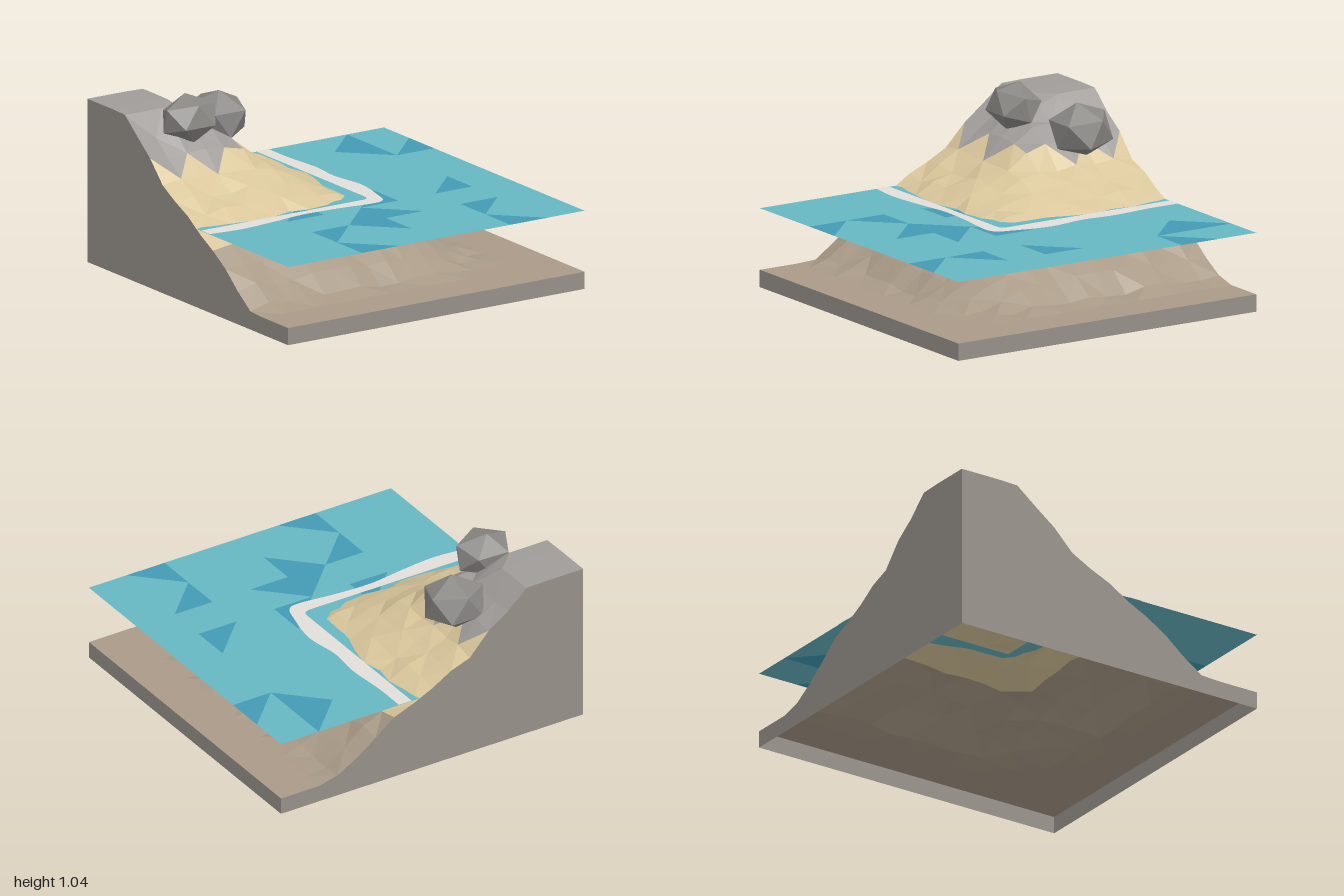
import * as THREE from 'three';

const LEVEL = 0.455; // water height

const mat = (color) => new THREE.MeshStandardMaterial({
  color, flatShading: true, roughness: 1, side: THREE.DoubleSide,
});

// Mesh from a list of triangles, each three [x, y, z] corners
function triMesh(name, tris, color) {
  const g = new THREE.BufferGeometry();
  g.setAttribute('position', new THREE.Float32BufferAttribute(tris.flat(2), 3));
  g.computeVertexNormals();
  const m = new THREE.Mesh(g, mat(color));
  m.name = name;
  return m;
}

// Two upward triangles of a grid cell, the diagonal alternating like a checkerboard
function cellTris(i, j, p) {
  const a = p(i, j), b = p(i + 1, j), c = p(i, j + 1), d = p(i + 1, j + 1);
  return (i + j) % 2 === 0 ? [[a, c, b], [b, c, d]] : [[a, c, d], [a, d, b]];
}

// Repeatable noise, 0 to 1
function noise(i, j) {
  const s = Math.sin(i * 127.1 + j * 311.7 + 4.3) * 43758.5453;
  return s - Math.floor(s);
}

// Slope profile: [distance from the high corner, height]
const profile = [[-1, 0.95], [-0.63, 0.95], [-0.5, 0.855], [-0.375, 0.755], [-0.25, 0.645],
  [-0.125, 0.58], [0, 0.525], [0.125, 0.465], [0.25, 0.395], [0.375, 0.315],
  [0.5, 0.225], [0.625, 0.14], [0.75, 0.1], [3, 0.1]];

function slope(d) {
  const k = Math.max(1, profile.findIndex((q) => q[0] >= d));
  const [d0, h0] = profile[k - 1], [d1, h1] = profile[k];
  return THREE.MathUtils.lerp(h0, h1, (d - d0) / (d1 - d0));
}

const N = 16;
function ground(i, j) {
  const x = -1 + (2 * i) / N, z = -1 + (2 * j) / N;
  // Square contours with slightly rounded corners
  const d = Math.pow(Math.pow(x + 1, 9) + Math.pow(z + 1, 9), 1 / 9) - 1;
  let y = slope(d);
  if (y > 0.11 && y < 0.94) y -= 0.035 * noise(i, j);
  return [x, Math.max(0.1, y), z];
}

// Terrain, split into height bands by the middle of each triangle
function terrain() {
  const bands = { rockyTop: [], sandSlope: [], seabed: [] };
  for (let i = 0; i < N; i++) {
    for (let j = 0; j < N; j++) {
      for (const t of cellTris(i, j, ground)) {
        const h = (t[0][1] + t[1][1] + t[2][1]) / 3;
        bands[h > 0.7 ? 'rockyTop' : h > 0.36 ? 'sandSlope' : 'seabed'].push(t);
      }
    }
  }
  const g = new THREE.Group();
  g.name = 'terrain';
  g.add(
    triMesh('rockyTop', bands.rockyTop, 0x9f9c99),
    triMesh('sandSlope', bands.sandSlope, 0xd8c59a),
    triMesh('seabed', bands.seabed, 0xa99a87),
  );
  return g;
}

// Upright sides from the floor to the rim of the terrain, open underneath
function walls() {
  const tris = [];
  const strip = (p, q) => {
    const p0 = [p[0], 0, p[2]], q0 = [q[0], 0, q[2]];
    tris.push([p0, q0, q], [p0, q, p]);
  };
  for (let k = 0; k < N; k++) {
    strip(ground(k, N), ground(k + 1, N)); // front
    strip(ground(k + 1, 0), ground(k, 0)); // back
    strip(ground(0, k), ground(0, k + 1)); // -x side
    strip(ground(N, k + 1), ground(N, k)); // +x side
  }
  return triMesh('sideWalls', tris, 0x969089);
}

// Water sheet, missing the quarter under the hill, with darker triangles: 'column,row,half'
function water() {
  const dark = new Set(['6,0,1', '6,1,1', '7,1,1', '4,4,1', '6,4,1', '2,4,1', '3,5,1',
    '4,5,0', '2,6,0', '3,6,1', '2,7,0', '6,6,0', '6,7,0']);
  const light = [], deep = [];
  const p = (i, j) => [-1 + i / 4, LEVEL, -1 + j / 4];
  for (let i = 0; i < 8; i++) {
    for (let j = 0; j < 8; j++) {
      if (i < 4 && j < 4) continue;
      cellTris(i, j, p).forEach((t, h) => (dark.has(`${i},${j},${h}`) ? deep : light).push(t));
    }
  }
  const g = new THREE.Group();
  g.name = 'water';
  g.add(triMesh('waterSurface', light, 0x66b6c2), triMesh('waterPatches', deep, 0x429bb4));
  return g;
}

// Foam band along the shore: wavy outer edge, straight inner edge
function foam() {
  const v = (x, z) => new THREE.Vector2(x, -z);
  const s = new THREE.Shape();
  s.moveTo(-1, -0.22);
  s.splineThru([v(-0.8, 0.24), v(-0.58, 0.22), v(-0.35, 0.19), v(-0.12, 0.2), v(0.1, 0.225),
    v(0.18, 0.2), v(0.215, 0.1), v(0.255, -0.12), v(0.225, -0.35), v(0.24, -0.55),
    v(0.22, -0.8), v(0.22, -1)]);
  s.lineTo(0.135, 1);
  s.lineTo(0.135, -0.09);
  s.quadraticCurveTo(0.135, -0.135, 0.09, -0.135);
  s.lineTo(-1, -0.135);
  const m = new THREE.Mesh(new THREE.ShapeGeometry(s, 4), mat(0xe2ddd8));
  m.rotation.x = -Math.PI / 2;
  m.position.y = LEVEL + 0.003;
  m.name = 'foam';
  return m;
}

// Boulder: a squashed icosahedron standing on a corner
function boulder(name, pos, size, turn, tilt) {
  const g = new THREE.IcosahedronGeometry(1, 0);
  g.rotateZ(-Math.atan(2 / (1 + Math.sqrt(5)))).rotateY(turn);
  g.rotateX(tilt).scale(...size);
  const m = new THREE.Mesh(g, mat(0x8a8885));
  m.position.set(...pos);
  m.name = name;
  return m;
}

export function createModel() {
  const model = new THREE.Group();
  model.name = 'islandShore';
  model.add(
    terrain(), walls(), water(), foam(),
    boulder('leftBoulder', [-0.33, 0.81, -0.71], [0.195, 0.16, 0.19], 0.3, 0.15),
    boulder('rightBoulder', [-0.665, 0.91, -0.48], [0.185, 0.14, 0.15], 0.9, -0.3),
  );
  return model;
}
